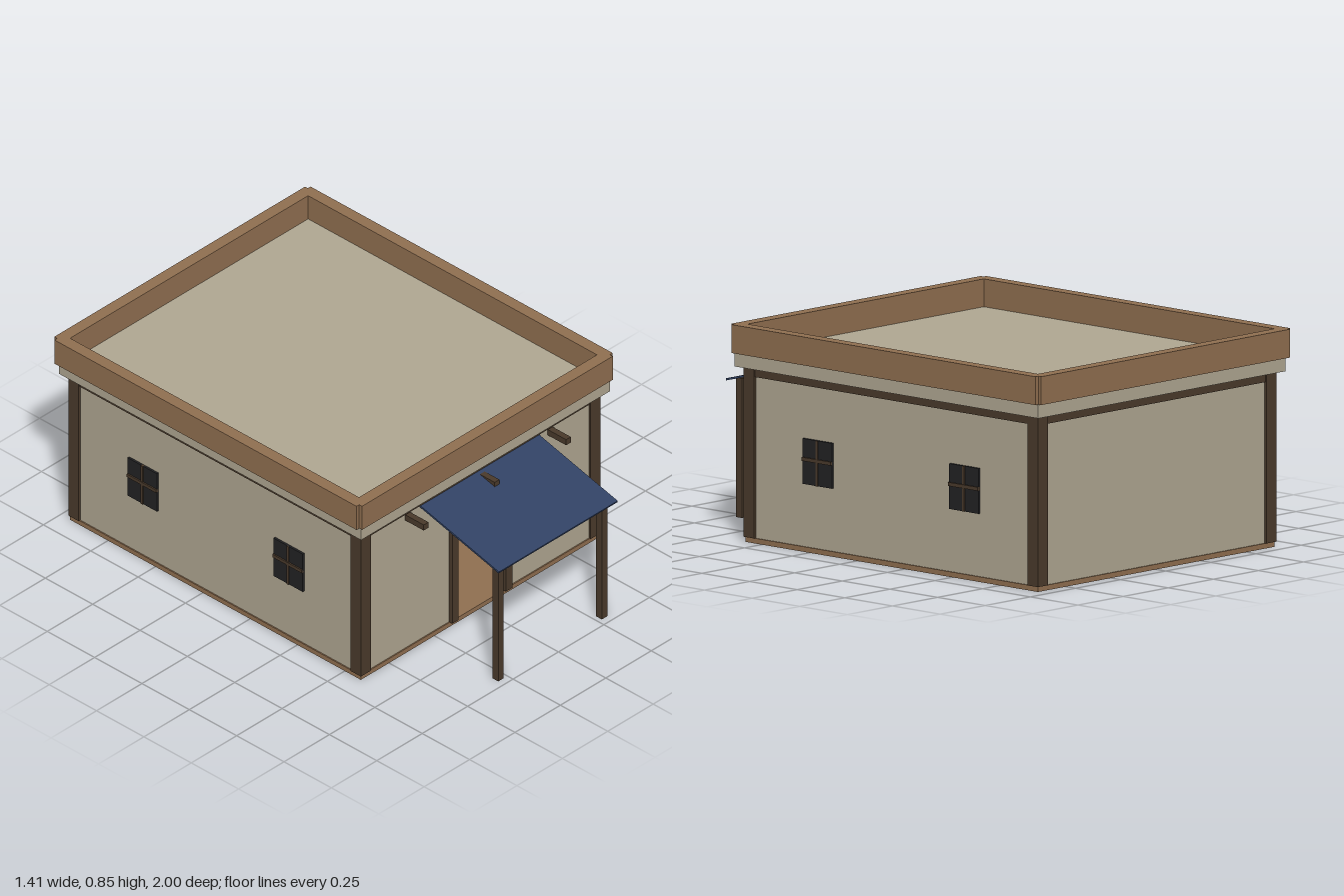
import * as THREE from 'three';

const mat = (name, color) => new THREE.MeshStandardMaterial({ name, color });

export function createModel() {
  const plaster = mat('plaster', 0xb0a792);
  const clay = mat('clay', 0x906f50);
  const timber = mat('timber', 0x4a3a2b);
  const darkWood = mat('darkWood', 0x2b211a);
  const cloth = mat('cloth', 0x314264);
  const pane = mat('pane', 0x222224);

  const model = new THREE.Group();
  model.name = 'house';

  // Box given by its minimum and maximum corners
  const box = (name, material, [x0, y0, z0], [x1, y1, z1], parent = model) => {
    const mesh = new THREE.Mesh(new THREE.BoxGeometry(x1 - x0, y1 - y0, z1 - z0), material);
    mesh.position.set((x0 + x1) / 2, (y0 + y1) / 2, (z0 + z1) / 2);
    mesh.name = name;
    parent.add(mesh);
    return mesh;
  };

  // Floor and walls
  box('floor', clay, [-0.655, 0, -0.95], [0.655, 0.02, 0.585]);
  box('backWall', plaster, [-0.65, 0.02, -0.945], [0.65, 0.68, -0.9]);
  for (const s of [-1, 1]) {
    const x = [0.605 * s, 0.65 * s].sort((a, b) => a - b);
    box('sideWall', plaster, [x[0], 0.02, -0.9], [x[1], 0.68, 0.535]);
  }

  // Front wall with the doorway cut out
  const front = new THREE.Shape([[-0.65, 0.02], [-0.14, 0.02], [-0.14, 0.51], [0.14, 0.51],
    [0.14, 0.02], [0.65, 0.02], [0.65, 0.68], [-0.65, 0.68]].map(p => new THREE.Vector2(...p)));
  const frontWall = new THREE.Mesh(
    new THREE.ExtrudeGeometry(front, { depth: 0.045, bevelEnabled: false }), plaster);
  frontWall.position.z = 0.535;
  frontWall.name = 'frontWall';
  model.add(frontWall);

  // Corner posts and the ring of beams under the roof
  for (const x of [-0.66, 0.605])
    for (const z of [-0.955, 0.535])
      box('cornerPost', timber, [x, 0.02, z], [x + 0.055, 0.68, z + 0.055]);
  for (const z of [-0.951, 0.545])
    box('crossBeam', timber, [-0.605, 0.645, z], [0.605, 0.68, z + 0.041]);
  for (const x of [-0.656, 0.615])
    box('sideBeam', timber, [x, 0.645, -0.9], [x + 0.041, 0.68, 0.535]);

  // Roof slab and parapet
  box('roofSlab', plaster, [-0.685, 0.68, -0.98], [0.685, 0.737, 0.615]);
  for (const z of [-1, 0.575])
    box('parapetEnd', clay, [-0.69, 0.735, z], [0.69, 0.845, z + 0.05]);
  for (const x of [-0.705, 0.655])
    box('parapetSide', clay, [x, 0.735, -0.985], [x + 0.05, 0.845, 0.61]);

  // Side windows with crossed bars
  for (const s of [-1, 1])
    for (const z of [0.205, -0.565]) {
      const win = new THREE.Group();
      win.name = 'window';
      win.position.set(0.654 * s, 0.352, z);
      box('pane', pane, [-0.005, -0.088, -0.077], [0.005, 0.088, 0.077], win);
      box('windowBarAcross', timber, [-0.011, 0.002, -0.077], [0.011, 0.016, 0.077], win);
      box('windowBarUpright', timber, [-0.009, -0.088, -0.005], [0.009, 0.088, 0.005], win);
      model.add(win);
    }

  // Door frame
  for (const x of [-0.165, 0.13])
    box('doorJamb', timber, [x, 0.02, 0.53], [x + 0.035, 0.505, 0.598]);
  box('doorLintel', timber, [-0.17, 0.503, 0.53], [0.17, 0.527, 0.6]);

  // Door swung open into the room, with hinges and braces
  const door = new THREE.Group();
  door.name = 'door';
  door.position.set(-0.128, 0, 0.55);
  door.rotation.y = -0.07;
  box('doorLeaf', darkWood, [0, 0.03, -0.25], [0.02, 0.49, 0], door);
  for (const y of [0.1, 0.42]) {
    box('doorBrace', timber, [0.02, y - 0.012, -0.24], [0.026, y + 0.012, -0.01], door);
    box('doorHinge', darkWood, [0.02, y - 0.012, -0.04], [0.044, y + 0.012, -0.01], door);
  }
  model.add(door);

  // Table and chest in the room
  const table = new THREE.Group();
  table.name = 'table';
  box('tableTop', timber, [0, 0.175, -0.35], [0.34, 0.192, -0.1], table);
  for (const x of [0.01, 0.31])
    for (const z of [-0.34, -0.13])
      box('tableLeg', timber, [x, 0.02, z], [x + 0.02, 0.175, z + 0.02], table);
  model.add(table);
  box('chest', timber, [-0.16, 0.02, -0.4], [-0.02, 0.12, -0.2]);

  // Beam ends sticking out of the front wall
  for (const x of [-0.393, -0.002, 0.391])
    box('beamEnd', timber, [x - 0.013, 0.614, 0.57], [x + 0.013, 0.64, 0.678]);

  // Sloping awning on two posts
  const awning = box('awning', cloth, [-0.327, 0, 0], [0.327, 0.008, 0.43]);
  awning.position.set(0, 0.587, 0.79);
  awning.rotation.x = Math.atan2(0.108, 0.42);
  for (const x of [-0.285, 0.285])
    box('awningPost', timber, [x - 0.015, 0, 0.94], [x + 0.015, 0.54, 0.97]);

  return model;
}
